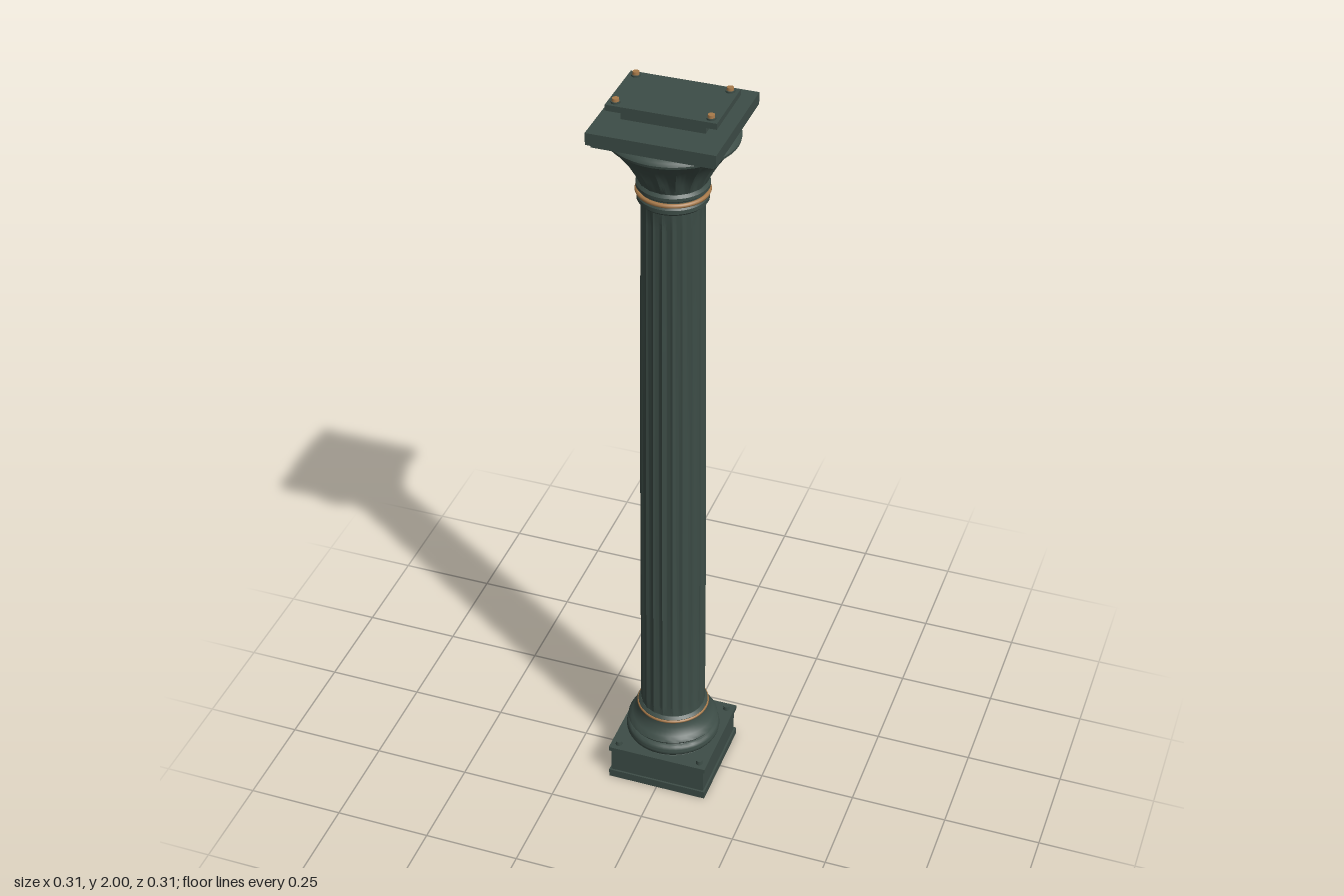
import * as THREE from 'three';
import { mergeVertices, toCreasedNormals } from 'three/addons/utils/BufferGeometryUtils.js';

export function createModel() {
  const iron = new THREE.MeshStandardMaterial({ name: 'dark green iron', color: 0x3d4d47 });
  const bronze = new THREE.MeshStandardMaterial({ name: 'bronze', color: 0xa87a4a });
  const model = new THREE.Group();
  model.name = 'column';

  const add = (name, geometry, material, x = 0, y = 0, z = 0) => {
    const mesh = new THREE.Mesh(geometry, material);
    mesh.name = name;
    mesh.position.set(x, y, z);
    model.add(mesh);
    return mesh;
  };
  const block = (name, w, y0, y1, d = w) =>
    add(name, new THREE.BoxGeometry(w, y1 - y0, d), iron, 0, (y0 + y1) / 2, 0);

  // Turned part; optional flutes cut into the radius, depth(y) deep
  const turned = (name, profile, flutes = 0, depth = () => 0) => {
    const points = profile.map(([r, y]) => new THREE.Vector2(r, y));
    let g = new THREE.LatheGeometry(points, flutes ? flutes * 8 : 48);
    const p = g.attributes.position;
    for (let i = 0; i < p.count; i++) {
      const x = p.getX(i), y = p.getY(i), z = p.getZ(i), r = Math.hypot(x, z);
      if (!flutes || r < 0.01) continue;
      const k = 1 - depth(y) * Math.abs(Math.sin(Math.atan2(x, z) * flutes / 2)) / r;
      p.setXYZ(i, x * k, y, z * k);
    }
    g.deleteAttribute('uv');
    g.deleteAttribute('normal');
    g = mergeVertices(g, 1e-5);
    return add(name, toCreasedNormals(g, 0.6), iron);
  };
  const ring = (name, r, tube, y) => {
    add(name, new THREE.TorusGeometry(r, tube, 8, 48).rotateX(Math.PI / 2), bronze, 0, y, 0);
  };

  // Square plinth with bottom and top bands
  block('plinthFoot', 0.266, 0, 0.022);
  block('plinth', 0.256, 0.022, 0.09);
  block('plinthCap', 0.266, 0.09, 0.102);

  // Moulded round base
  const base = [[0, 0.1], [0.118, 0.1]];
  for (let i = 0; i <= 8; i++) {
    const a = -Math.PI / 2 + i * Math.PI / 8;
    base.push([0.109 + 0.014 * Math.cos(a), 0.121 + 0.017 * Math.sin(a)]);
  }
  base.push([0.106, 0.142], [0.114, 0.144], [0.118, 0.15], [0.114, 0.157], [0.107, 0.162],
    [0.1, 0.171], [0.094, 0.182], [0.091, 0.194], [0.091, 0.205], [0.084, 0.212], [0, 0.212]);
  turned('base', base);
  ring('lowerRing', 0.09, 0.0045, 0.2);

  // Fluted tapering shaft
  turned('shaft', [[0.084, 0.2], [0.084, 0.24], [0.083, 0.6], [0.081, 1], [0.078, 1.4],
    [0.075, 1.68], [0.075, 1.74]], 20,
  y => 0.005 * Math.min(1, Math.max(0, (y - 0.2) / 0.04), Math.max(0, (1.74 - y) / 0.05)));

  // Collar under the capital
  turned('collar', [[0, 1.728], [0.078, 1.728], [0.084, 1.734], [0.084, 1.744], [0.08, 1.749],
    [0.08, 1.763], [0.086, 1.768], [0.086, 1.776], [0.08, 1.783], [0, 1.783]]);
  ring('upperRing', 0.083, 0.0055, 1.756);

  // Flared bell of the capital with shallow lobes
  turned('bell', [[0.078, 1.778], [0.084, 1.79], [0.095, 1.812], [0.11, 1.838], [0.128, 1.862],
    [0.144, 1.882], [0.15, 1.892]], 16, y => 0.009 * Math.sin(Math.PI * (y - 1.778) / 0.114));
  turned('bellRim', [[0, 1.886], [0.148, 1.886], [0.155, 1.892], [0.156, 1.898], [0.152, 1.905],
    [0.142, 1.91], [0.138, 1.918], [0, 1.918]]);

  // Square slab in two steps
  block('slabLower', 0.286, 1.91, 1.922);
  block('slab', 0.306, 1.92, 1.95);

  // Bearing block and plate
  block('bearingBlock', 0.2, 1.95, 1.975, 0.136);
  block('bearingPlate', 0.262, 1.974, 1.989, 0.168);

  // Bolts at the corners of the bearing plate and plinth
  for (const sx of [-1, 1]) for (const sz of [-1, 1]) {
    add('plateWasher', new THREE.CylinderGeometry(0.011, 0.011, 0.004, 16), iron,
      sx * 0.112, 1.991, sz * 0.066);
    add('plateBolt', new THREE.CylinderGeometry(0.008, 0.009, 0.011, 12), bronze,
      sx * 0.112, 1.9945, sz * 0.066);
    add('plinthBolt', new THREE.CylinderGeometry(0.008, 0.009, 0.012, 12), iron,
      sx * 0.112, 0.107, sz * 0.112);
  }
  return model;
}
